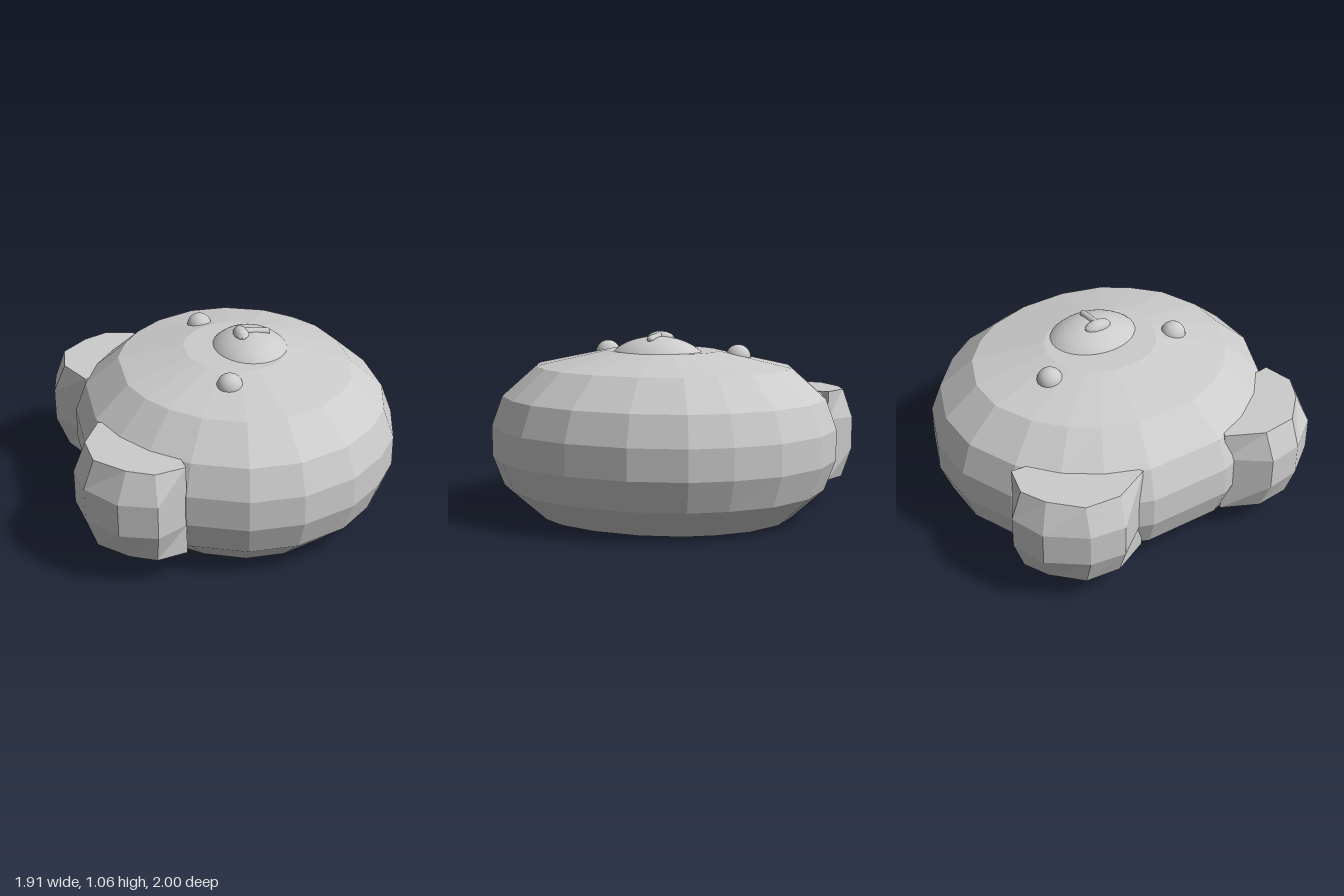
import * as THREE from 'three';

const flat = new THREE.MeshStandardMaterial({ color: 0xcccccc, flatShading: true });
const smooth = new THREE.MeshStandardMaterial({ color: 0xcccccc });

// Closed solid through stacked rings of [x, y, z], each running from +x towards +z
function loft(rings) {
  const n = rings[0].length;
  const pos = rings.flat(2);
  const index = [];
  for (let r = 0; r < rings.length - 1; r++) {
    for (let i = 0; i < n; i++) {
      const j = (i + 1) % n;
      const a = r * n + i, b = r * n + j, d = a + n, c = b + n;
      index.push(a, d, b, b, d, c);
    }
  }
  const addCap = (ring, start, up) => {
    const centre = pos.length / 3;
    for (let k = 0; k < 3; k++) pos.push(ring.reduce((s, p) => s + p[k], 0) / n);
    for (let i = 0; i < n; i++) {
      const a = start + i, b = start + (i + 1) % n;
      if (up) index.push(centre, b, a); else index.push(centre, a, b);
    }
  };
  addCap(rings[0], 0, false);
  addCap(rings[rings.length - 1], (rings.length - 1) * n, true);
  const g = new THREE.BufferGeometry();
  g.setAttribute('position', new THREE.Float32BufferAttribute(pos, 3));
  g.setIndex(index);
  g.computeVertexNormals();
  return g;
}

export function createModel() {
  const model = new THREE.Group();
  model.name = 'model';
  const add = (name, geometry, material, x = 0, y = 0, z = 0) => {
    const mesh = new THREE.Mesh(geometry, material);
    mesh.name = name;
    mesh.position.set(x, y, z);
    model.add(mesh);
    return mesh;
  };

  // Body: one faceted outline, scaled about x = 0.05 at each height
  const half = [
    [0.95, 0.18], [0.86, 0.49], [0.72, 0.69], [0.51, 0.88], [0.20, 1.0],
    [-0.10, 1.0], [-0.41, 0.87], [-0.62, 0.69], [-0.76, 0.49], [-0.86, 0.24],
  ];
  const outline = [...half, ...half.map(([x, z]) => [x, -z]).reverse()];
  const levels = [
    [0, 0.75, 0.72], [0.17, 0.935, 0.93], [0.345, 1, 1], [0.52, 1, 1],
    [0.69, 0.94, 0.93], [0.86, 0.75, 0.72], [0.95, 0.33, 0.32],
  ];
  add('body', loft(levels.map(([y, sz, sx]) =>
    outline.map(([x, z]) => [0.05 + (x - 0.05) * sx, y, z * sz]))), flat);

  // Two corner lobes, mirrored in z
  const wide = [[-0.41, 0.86], [-0.58, 0.96], [-0.78, 0.89], [-0.93, 0.69],
    [-0.96, 0.49], [-0.80, 0.28], [-0.45, 0.45]];
  const narrow = [[-0.41, 0.86], [-0.58, 0.90], [-0.72, 0.83], [-0.87, 0.68],
    [-0.89, 0.48], [-0.79, 0.27], [-0.45, 0.45]];
  for (const side of [1, -1]) {
    const rings = [[narrow, 0.165], [wide, 0.34], [wide, 0.53], [narrow, 0.695]].map(([pts, y]) => {
      const ring = pts.map(([x, z]) => [x, y, z * side]);
      return side > 0 ? ring : ring.reverse();
    });
    add(side > 0 ? 'frontLobe' : 'backLobe', loft(rings), flat);
    add(side > 0 ? 'frontStud' : 'backStud',
      new THREE.SphereGeometry(0.073, 24, 16), smooth, -0.077, 0.912, 0.415 * side);
  }

  // Shallow oval dome on top
  const dome = add('dome',
    new THREE.SphereGeometry(1, 32, 10, 0, Math.PI * 2, 0, Math.PI / 3), smooth, 0.135, 0.855, 0);
  dome.scale.set(0.248, 0.18, 0.303);

  // Small knob: flattened head with a round stem pointing to +x
  const head = add('knobHead', new THREE.SphereGeometry(1, 14, 8), flat, 0.083, 1.015, 0);
  head.scale.set(0.046, 0.047, 0.086);
  const stem = add('knobStem', new THREE.CapsuleGeometry(0.021, 0.13, 5, 12), smooth, 0.168, 1.03, 0);
  stem.rotation.z = Math.PI / 2 - 0.08;

  return model;
}
